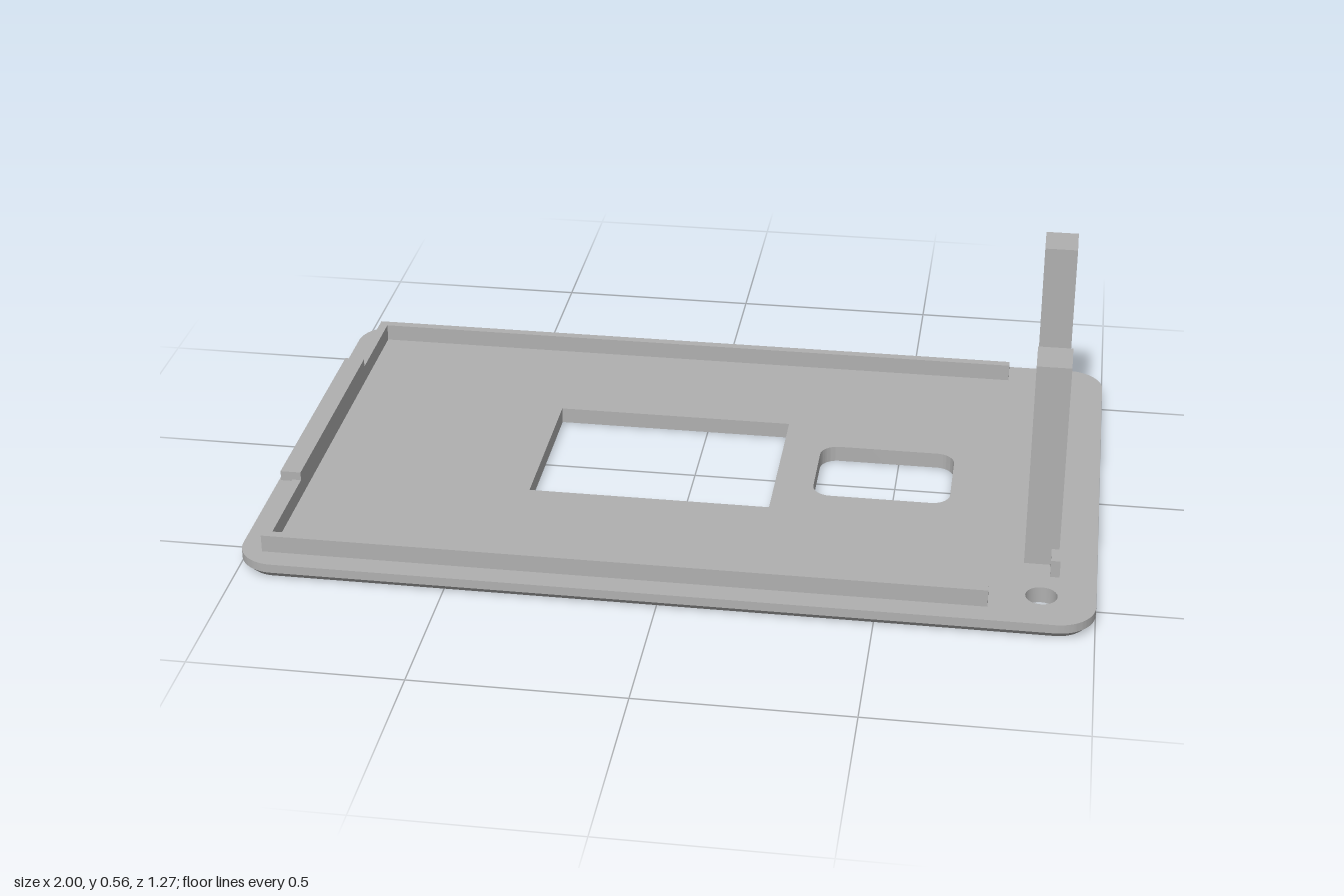
import * as THREE from 'three';
import { toCreasedNormals } from 'three/addons/utils/BufferGeometryUtils.js';

const HALF_X = 1, HALF_Z = 0.633, CORNER = 0.09, PLATE = 0.04, CHAMFER = 0.018;

// Traces a rounded rectangle; with r = 0 the corners are sharp.
function roundedRect(path, x0, x1, y0, y1, r) {
  path.moveTo(x0 + r, y0);
  path.lineTo(x1 - r, y0);
  if (r) path.absarc(x1 - r, y0 + r, r, -Math.PI / 2, 0);
  path.lineTo(x1, y1 - r);
  if (r) path.absarc(x1 - r, y1 - r, r, 0, Math.PI / 2);
  path.lineTo(x0 + r, y1);
  if (r) path.absarc(x0 + r, y1 - r, r, Math.PI / 2, Math.PI);
  path.lineTo(x0, y0 + r);
  if (r) path.absarc(x0 + r, y0 + r, r, Math.PI, Math.PI * 1.5);
  return path;
}

function plateGeometry() {
  const shape = roundedRect(new THREE.Shape(), -HALF_X, HALF_X, -HALF_Z, HALF_Z, CORNER);
  // display window, rounded opening and two screw holes (shape y is -z)
  shape.holes.push(roundedRect(new THREE.Path(), -0.38, 0.21, -0.2, 0.23, 0));
  shape.holes.push(roundedRect(new THREE.Path(), 0.305, 0.64, -0.123, 0.127, 0.045));
  for (const s of [-1, 1]) {
    shape.holes.push(new THREE.Path().absarc(0.875, s * 0.512, 0.037, 0, Math.PI * 2));
  }
  const geo = new THREE.ExtrudeGeometry(shape, {
    depth: PLATE, steps: 2, bevelEnabled: false, curveSegments: 12,
  });
  geo.rotateX(-Math.PI / 2);

  // draw the lower rim inward to form the chamfer
  const pos = geo.attributes.position;
  for (let i = 0; i < pos.count; i++) {
    const x = pos.getX(i), y = pos.getY(i), z = pos.getZ(i);
    if (y > 0.001 && y < PLATE - 0.001) pos.setY(i, CHAMFER);
    if (y > 0.001) continue;
    const qx = Math.max(Math.abs(x) - (HALF_X - CORNER), 0);
    const qz = Math.max(Math.abs(z) - (HALF_Z - CORNER), 0);
    const len = Math.hypot(qx, qz);
    if (len < CORNER * 0.95) continue;
    pos.setX(i, x - Math.sign(x) * CHAMFER * qx / len);
    pos.setZ(i, z - Math.sign(z) * CHAMFER * qz / len);
  }
  geo.computeVertexNormals();
  return toCreasedNormals(geo, Math.PI / 6);
}

export function createModel() {
  const group = new THREE.Group();
  group.name = 'enclosureLid';
  const grey = new THREE.MeshStandardMaterial({ color: 0xb0b0b0 });
  grey.name = 'grey plastic';

  const add = (name, geometry) => {
    const mesh = new THREE.Mesh(geometry, grey);
    mesh.name = name;
    group.add(mesh);
  };
  const block = (name, x0, x1, y0, y1, z0, z1) => {
    const geo = new THREE.BoxGeometry(x1 - x0, y1 - y0, z1 - z0);
    add(name, geo.translate((x0 + x1) / 2, (y0 + y1) / 2, (z0 + z1) / 2));
  };

  add('plate', plateGeometry());

  // locating ribs around the rim
  const ribTop = 0.083;
  block('frontRib', -0.945, 0.755, PLATE, ribTop, 0.555, 0.577);
  block('backRib', -0.945, 0.755, PLATE, ribTop, -0.577, -0.555);
  block('endRib', -0.945, -0.923, PLATE, ribTop, -0.555, 0.555);
  block('postRib', 0.892, 0.914, PLATE, ribTop, -0.426, 0.426);

  // overhanging snap tab on the end rib
  block('snapTab', -0.973, -0.923, 0.079, 0.104, -0.307, 0.307);

  // tall posts
  block('frontPost', 0.83, 0.91, PLATE, 0.555, 0.271, 0.372);
  block('backPost', 0.83, 0.91, PLATE, 0.555, -0.372, -0.271);

  return group;
}
